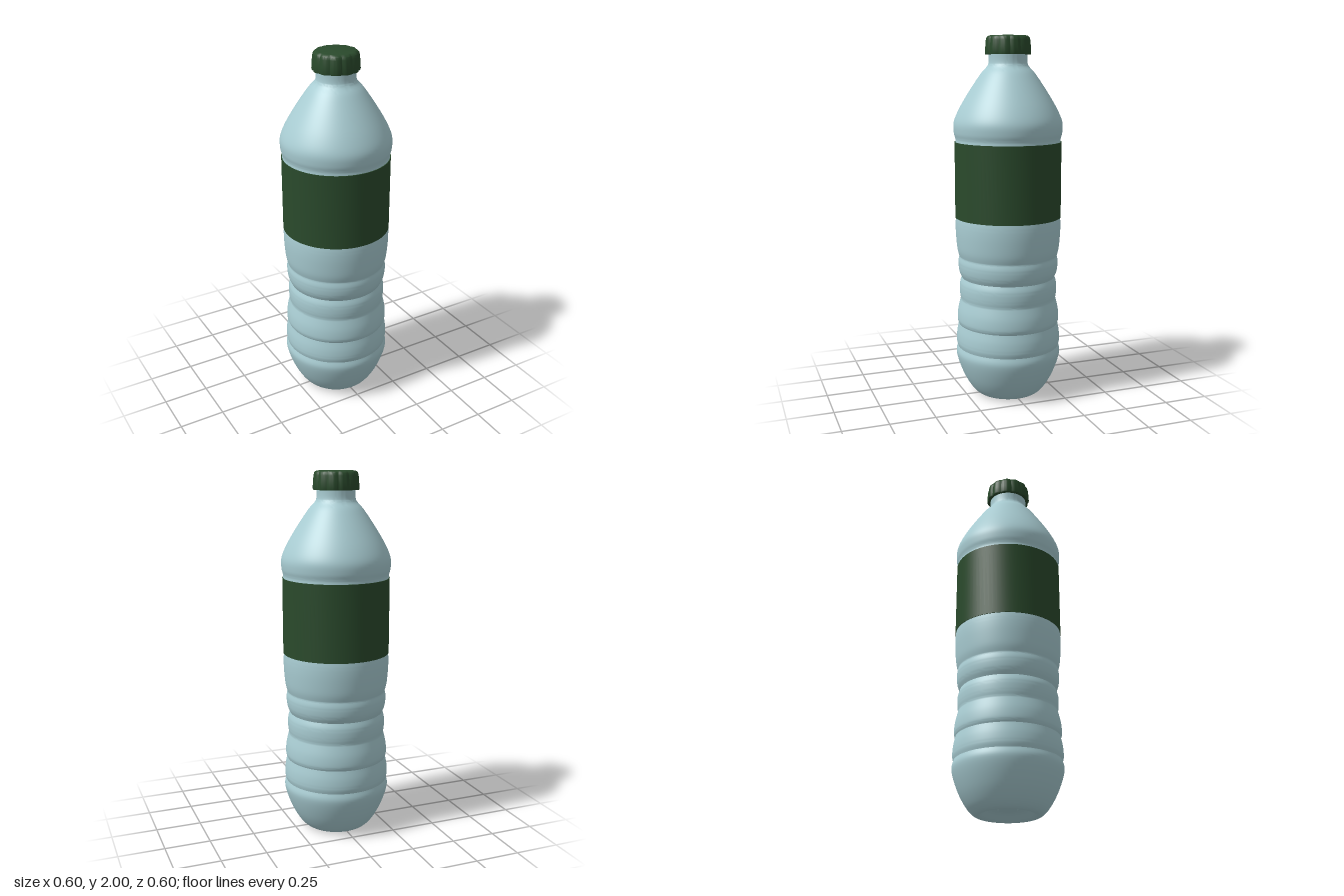
import * as THREE from 'three';
import { toCreasedNormals, mergeVertices } from 'three/addons/utils/BufferGeometryUtils.js';

const plastic = new THREE.MeshStandardMaterial({ color: 0xa9cdd3, side: THREE.DoubleSide });
const green = new THREE.MeshStandardMaterial({ color: 0x2a4a2c, side: THREE.DoubleSide });

const v = ([r, y]) => new THREE.Vector2(r, y);

// Smooth curve through [radius, height] points
function smooth(points, steps = 5) {
  return new THREE.SplineCurve(points.map(v)).getPoints((points.length - 1) * steps);
}

// Joins smooth runs; the shared end points stay as creases
function joinRuns(runs) {
  return runs.flatMap((run, i) => smooth(run).slice(i ? 1 : 0));
}

function addMesh(group, name, geometry, material) {
  const mesh = new THREE.Mesh(geometry, material);
  mesh.name = name;
  group.add(mesh);
}

export function createModel() {
  const model = new THREE.Group();
  model.name = 'bottle';

  // Body: recessed base with a centre nub, ribbed waist, shoulder and neck
  const profile = joinRuns([
    [[0, 0.028], [0.025, 0.026], [0.05, 0.03]],
    [[0.05, 0.03], [0.065, 0.042], [0.1, 0.03], [0.135, 0.008], [0.16, 0.001],
      [0.185, 0.012], [0.215, 0.045], [0.25, 0.105], [0.28, 0.18], [0.294, 0.24], [0.286, 0.28]],
    [[0.286, 0.28], [0.292, 0.31], [0.289, 0.36], [0.279, 0.41]],
    [[0.279, 0.41], [0.286, 0.435], [0.282, 0.49], [0.267, 0.555]],
    [[0.267, 0.555], [0.272, 0.59], [0.271, 0.64], [0.26, 0.675]],
    [[0.26, 0.675], [0.274, 0.71], [0.279, 0.76], [0.273, 0.795]],
    [[0.273, 0.795], [0.284, 0.84], [0.291, 0.92], [0.292, 0.98], [0.289, 1.02]],
    [[0.289, 1.02], [0.289, 1.43]],
    [[0.289, 1.43], [0.289, 1.45], [0.297, 1.485], [0.296, 1.54], [0.267, 1.61],
      [0.214, 1.7], [0.15, 1.795], [0.115, 1.835], [0.105, 1.86], [0.105, 1.92]],
  ]);
  addMesh(model, 'body', toCreasedNormals(new THREE.LatheGeometry(profile, 80), 0.5), plastic);

  // Label: thin sleeve wrapped round the middle
  const sleeve = [[0.287, 1.015], [0.293, 1.015], [0.293, 1.432], [0.287, 1.432]].map(v);
  addMesh(model, 'label', toCreasedNormals(new THREE.LatheGeometry(sleeve, 80), 0.5), green);

  // Cap: turned form whose side is scalloped into grip flutes
  const capProfile = [[0.1, 1.9], [0.124, 1.9], [0.126, 1.907], [0.124, 1.94], [0.121, 1.975],
    [0.117, 1.99], [0.108, 1.998], [0.098, 2], [0, 2]].map(v);
  const cap = new THREE.LatheGeometry(capProfile, 96);
  const p = cap.attributes.position;
  for (let i = 0; i < p.count; i++) {
    const x = p.getX(i), z = p.getZ(i);
    if (Math.hypot(x, z) < 0.105) continue;
    const scale = 0.94 + 0.06 * Math.abs(Math.cos(Math.atan2(z, x) * 6));
    p.setX(i, x * scale);
    p.setZ(i, z * scale);
  }
  cap.deleteAttribute('normal');
  cap.deleteAttribute('uv');
  addMesh(model, 'cap', toCreasedNormals(mergeVertices(cap), 0.6), green);

  return model;
}
